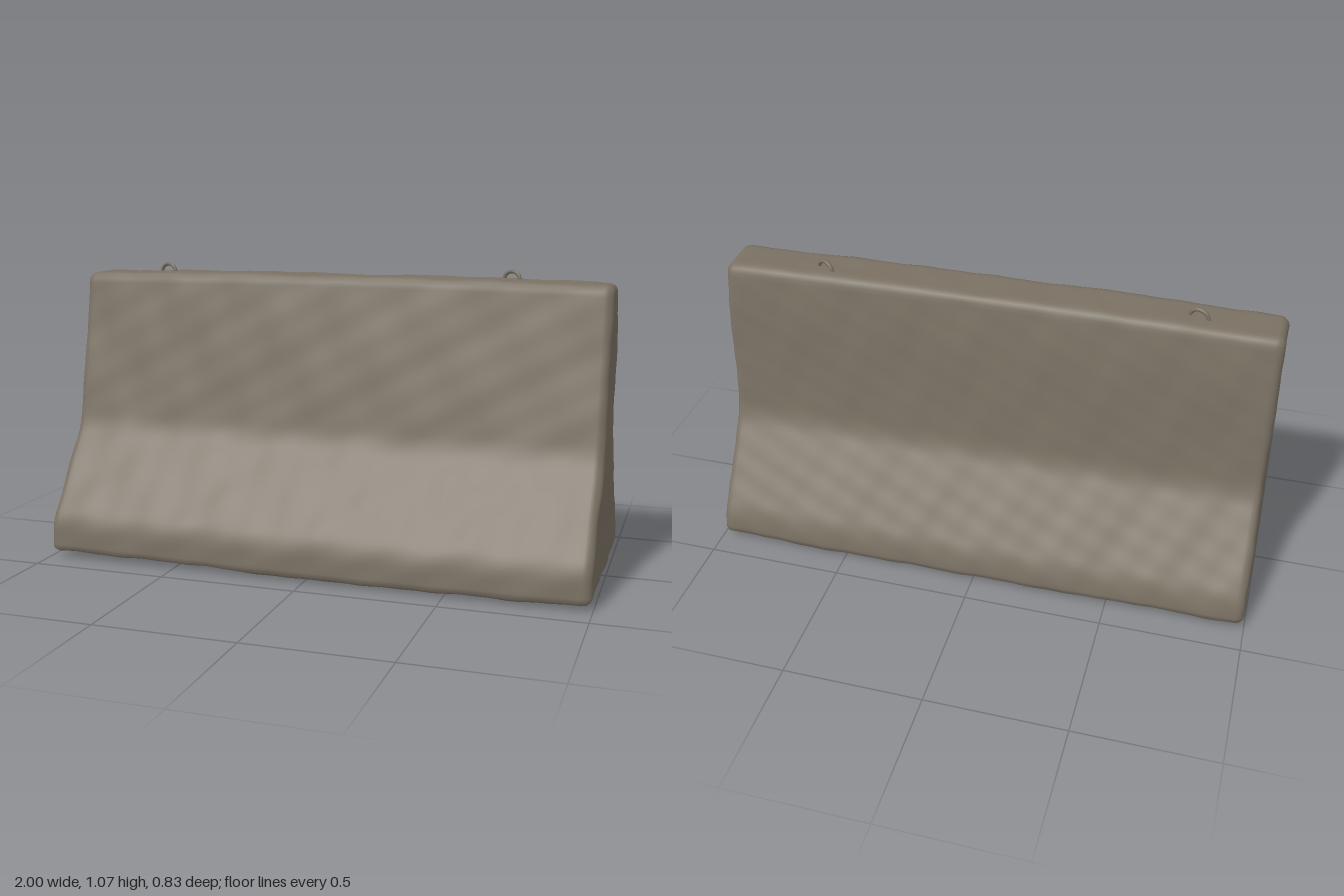
import * as THREE from 'three';

// Barrier outline as [z, y, corner radius]: up the front, over the top, down the back
const OUTLINE = [
  [0.412, 0.018, 0.015], [0.405, 0.135, 0.05], [0.18, 0.46, 0.05], [0.06, 1.043, 0.025],
  [-0.118, 1.043, 0.03], [-0.145, 0.87, 0.08], [-0.166, 0.6, 0.08], [-0.183, 0.44, 0.05],
  [-0.4, 0.11, 0.05], [-0.412, 0.02, 0.02], [-0.15, 0.008, 0.05],
];
const CENTRE = [-0.01, 0.3];
const HALF = 0.995, ROUND = 0.032;

// Outline with softened corners, sampled evenly
function outlinePoints(count) {
  const path = new THREE.Path();
  const n = OUTLINE.length;
  const at = (i) => new THREE.Vector2(...OUTLINE[(i + n) % n].slice(0, 2));
  const toward = (p, q, r) => p.clone().add(q.clone().sub(p).setLength(r));
  OUTLINE.forEach(([, , r], i) => {
    const p = at(i), a = toward(p, at(i - 1), r), b = toward(p, at(i + 1), r);
    if (i === 0) path.moveTo(a.x, a.y);
    else path.lineTo(a.x, a.y);
    path.quadraticCurveTo(p.x, p.y, b.x, b.y);
  });
  path.closePath();
  return path.getSpacedPoints(count).slice(0, count);
}

// Gentle unevenness of cast concrete
function bumps(x, y, z) {
  const broad = Math.sin(5.3 * x + 3.1 * y + 1.2) * Math.sin(6.1 * z - 4.2 * y + 2 * x);
  const medium = Math.sin(17 * x + 9 * z + 0.7) * Math.sin(15 * y - 11 * z + 4 * x);
  const fine = Math.sin(37 * x - 21 * y) * Math.sin(33 * y + 29 * z + 11 * x);
  const rough = y < 0.3 ? 1.4 : 1;
  return 0.003 * broad + 0.0022 * medium + 0.0011 * fine * rough;
}

// Rings from the middle of one end, along the body, to the middle of the other end
function ringList() {
  const end = [];
  for (let i = 0; i <= 14; i++) end.push({ x: HALF, inset: ROUND, scale: i / 14 });
  for (let i = 1; i <= 6; i++) {
    const a = (i / 6) * Math.PI / 2;
    end.push({ x: HALF - ROUND * (1 - Math.cos(a)), inset: ROUND * (1 - Math.sin(a)), scale: 1 });
  }
  const left = end.map((r) => ({ ...r, x: -r.x }));
  const body = [];
  const flat = HALF - ROUND;
  for (let i = 1; i < 110; i++) body.push({ x: -flat + (2 * flat * i) / 110, inset: 0, scale: 1 });
  return [...left, ...body, ...end.reverse()];
}

function barrierGeometry() {
  const count = 180;
  const points = outlinePoints(count);
  const rings = ringList();
  const position = [], index = [];
  rings.forEach(({ x, inset, scale }, i) => {
    points.forEach((p, j) => {
      const t = points[(j + 1) % count].clone().sub(points[(j + count - 1) % count]).normalize();
      let z = CENTRE[0] + (p.x - t.y * inset - CENTRE[0]) * scale;
      let y = CENTRE[1] + (p.y + t.x * inset - CENTRE[1]) * scale;
      const b = bumps(x, y, z);
      const onEnd = Math.abs(x) > HALF - ROUND * 0.5;
      if (!onEnd) {
        z += t.y * b;
        y -= t.x * b;
      }
      // Slight crown on top and sag underneath
      if (y > 0.5) y += (y - 0.5) * (0.018 * Math.cos(x * 1.7) - 0.013);
      else y -= 0.008 * (1 - y / 0.5) * (Math.cos((x - 0.25) * 2) - 0.3);
      position.push(x + (onEnd ? Math.sign(x) * b : 0), y, z);
      if (i < rings.length - 1) {
        const k = (j + 1) % count;
        const a0 = i * count + j, a1 = i * count + k;
        index.push(a0, a0 + count, a1 + count, a0, a1 + count, a1);
      }
    });
  });
  const geometry = new THREE.BufferGeometry();
  geometry.setAttribute('position', new THREE.Float32BufferAttribute(position, 3));
  geometry.setIndex(index);
  geometry.computeVertexNormals();
  return geometry;
}

// Bent steel loop whose legs run down into the concrete
function loopGeometry() {
  const pts = [[-0.037, -0.05], [-0.035, 0.005], [-0.025, 0.027], [0, 0.037],
    [0.025, 0.027], [0.035, 0.005], [0.037, -0.05]];
  const curve = new THREE.CatmullRomCurve3(pts.map(([x, y]) => new THREE.Vector3(x, y, 0)));
  return new THREE.TubeGeometry(curve, 28, 0.007, 8);
}

export function createModel() {
  const concrete = new THREE.MeshStandardMaterial({ color: 0x7a7163 });
  concrete.name = 'concrete';
  const model = new THREE.Group();
  model.name = 'concreteBarrier';

  const body = new THREE.Mesh(barrierGeometry(), concrete);
  body.name = 'barrierBody';
  model.add(body);

  const loop = loopGeometry();
  [['rightLiftingLoop', -0.7, -0.043, -0.28], ['leftLiftingLoop', 0.627, -0.058, -0.45]]
    .forEach(([name, x, z, turn]) => {
      const mesh = new THREE.Mesh(loop, concrete);
      mesh.name = name;
      mesh.position.set(x, 1.031, z);
      mesh.rotation.y = turn;
      model.add(mesh);
    });
  return model;
}
